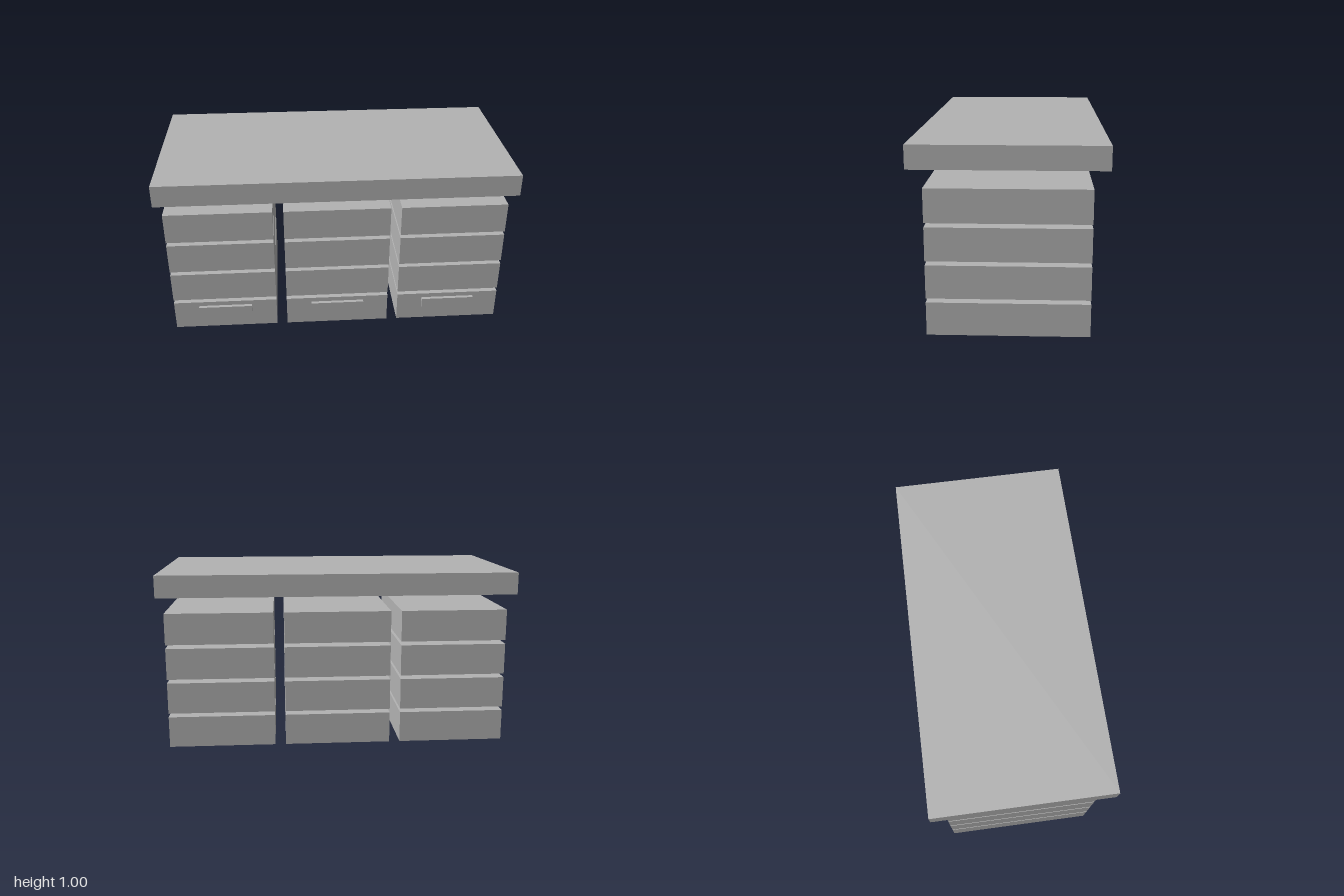
import * as THREE from 'three';

export function createModel() {
  const group = new THREE.Group();
  const grey = new THREE.MeshStandardMaterial({ color: 0xb2b2b2 });
  grey.name = 'grey';

  // Box placed by its centre in x and z and its underside in y
  const addBox = (name, [w, h, d], [x, y, z]) => {
    const mesh = new THREE.Mesh(new THREE.BoxGeometry(w, h, d), grey);
    mesh.name = name;
    mesh.position.set(x, y + h / 2, z);
    group.add(mesh);
  };

  // Overhanging slab, floating above the drawers
  addBox('tableTop', [2, 0.123, 1], [0, 0.877, 0]);

  // Three columns of four drawers, with a handle on each bottom drawer
  ['right', 'middle', 'left'].forEach((side, column) => {
    const x = (column - 1) * 0.667;
    for (let row = 0; row < 4; row++) {
      addBox(`${side}Drawer${row + 1}`, [0.606, 0.178, 0.843], [x, row * 0.2, 0]);
    }
    addBox(`${side}Handle`, [0.312, 0.056, 0.02], [x, 0.095, 0.431]);
  });

  return group;
}
